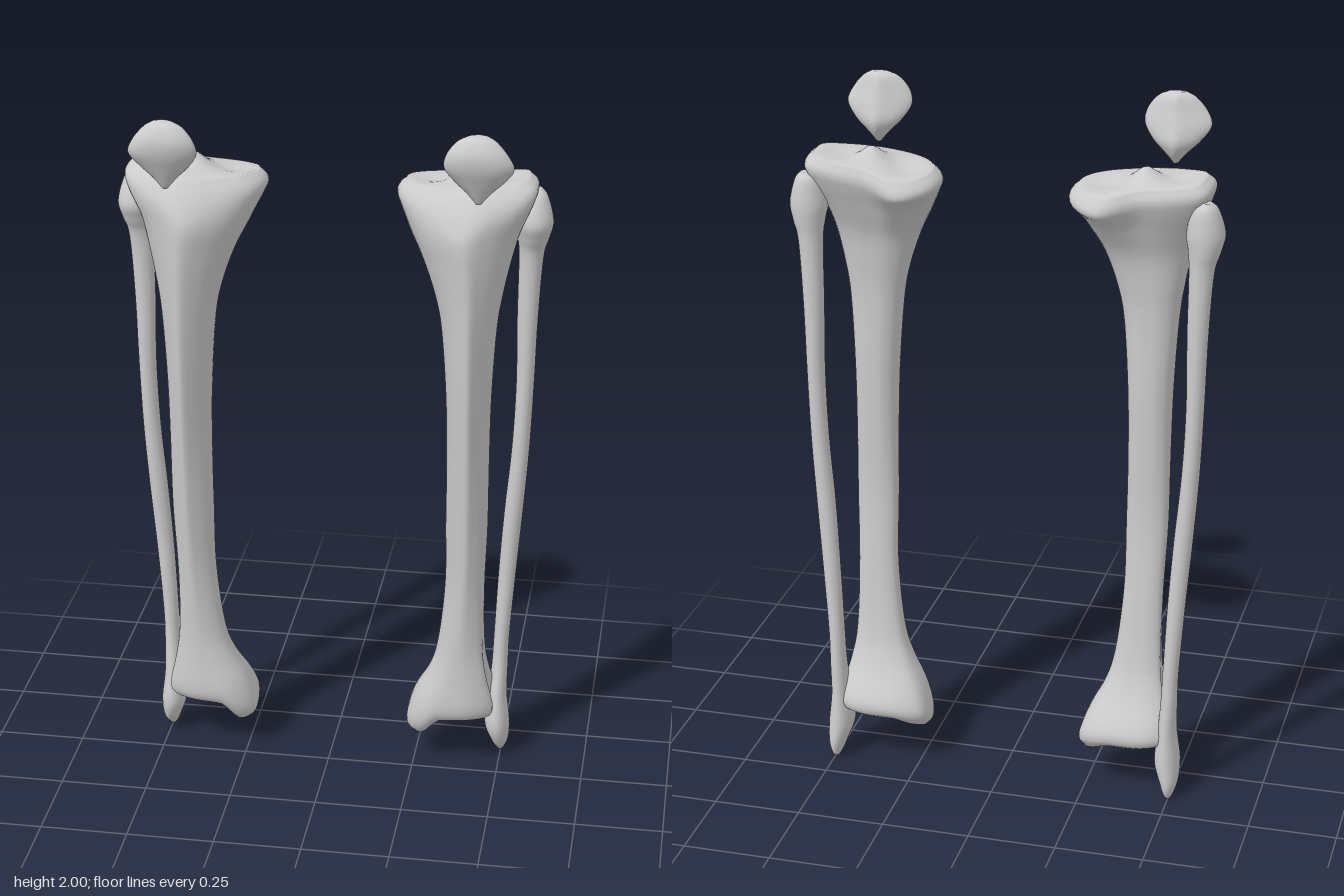
import * as THREE from 'three';

const SEG = 48, STEP = 5, CAP = 8;
const smooth = (a, b, v) => THREE.MathUtils.smoothstep(v, a, b);
const bump = (x, z, cx, cz, r) => Math.exp(-((x - cx) ** 2 + (z - cz) ** 2) / (r * r));

// Closed cross-section outline in a -1..1 box: 12 points, from +x round through +z
function outline(points) {
  const curve = new THREE.CatmullRomCurve3(points.map(([u, v]) => new THREE.Vector3(u, 0, v)), true, 'centripetal');
  return Array.from({ length: SEG }, (_, i) => curve.getPoint(i / SEG));
}

const SHAFT = outline([[1, -0.2], [0.75, 0.35], [0.42, 0.75], [0.1, 1], [-0.35, 0.75], [-0.75, 0.35],
  [-1, -0.2], [-0.85, -0.7], [-0.45, -0.95], [0, -1], [0.45, -0.95], [0.85, -0.7]]);
const PLATEAU = outline([[1, 0], [0.93, 0.5], [0.5, 0.85], [0.1, 1], [-0.4, 0.8], [-0.82, 0.42],
  [-1, -0.1], [-0.9, -0.65], [-0.5, -1], [0, -0.72], [0.45, -0.66], [0.9, -0.5]]);
const ANKLE = outline([[0.86, -0.1], [0.95, 0.5], [0.5, 0.9], [0, 1], [-0.5, 0.95], [-0.92, 0.55],
  [-1, 0], [-0.9, -0.6], [-0.5, -0.9], [0, -1], [0.6, -0.95], [1, -0.6]]);
const ROUND = outline([[1, 0], [0.85, 0.52], [0.48, 0.88], [0, 1], [-0.52, 0.84], [-0.88, 0.48],
  [-1, 0], [-0.86, -0.5], [-0.5, -0.86], [0, -1], [0.5, -0.86], [0.86, -0.5]]);
const KNEECAP = outline([[1, 0.1], [0.88, 0.5], [0.5, 0.88], [0, 1], [-0.5, 0.88], [-0.88, 0.5],
  [-1, 0.1], [-0.8, -0.3], [-0.42, -0.7], [0, -1], [0.42, -0.7], [0.8, -0.3]]);

// Rows run top to bottom: [y, xMin, xMax, zBack, zFront, blend]
// blend > 0 moves towards the upper outline, < 0 towards the lower one
function loft(name, side, rows, mid, upper = mid, lower = mid, warp = () => 0) {
  const spline = new THREE.CubicInterpolant(rows.map((_, i) => i), rows.flat(), 6, new Float32Array(6));
  const rings = [];
  const last = rows.length - 1;
  for (let k = 0; k < CAP; k++) rings.push([rows[0], k / CAP]);
  for (let k = 0; k <= last * STEP; k++) rings.push([Array.from(spline.evaluate(k / STEP)), 1]);
  for (let k = CAP - 1; k >= 0; k--) rings.push([rows[last], k / CAP]);

  const pos = [], index = [];
  rings.forEach(([[y, x0, x1, z0, z1, m], s], i) => {
    const end = m > 0 ? upper : lower;
    for (let j = 0; j < SEG; j++) {
      const p = mid[j].clone().lerp(end[j], Math.min(1, Math.abs(m)));
      const x = (x0 + x1) / 2 + p.x * s * (x1 - x0) / 2;
      const z = (z0 + z1) / 2 + p.z * s * (z1 - z0) / 2;
      pos.push(side * x, y + warp(x, y, z), z);
      if (i === rings.length - 1) continue;
      const a = i * SEG + j, b = i * SEG + (j + 1) % SEG, c = a + SEG, d = b + SEG;
      if (side > 0) index.push(a, b, c, b, d, c);
      else index.push(a, c, b, b, c, d);
    }
  });
  const geo = new THREE.BufferGeometry();
  geo.setAttribute('position', new THREE.Float32BufferAttribute(pos, 3));
  geo.setIndex(index);
  geo.computeVertexNormals();
  const mesh = new THREE.Mesh(geo, new THREE.MeshStandardMaterial({ color: 0xcccccc, roughness: 0.8 }));
  mesh.name = name;
  return mesh;
}

const TIBIA = [
  [1.822, 0.205, 0.54, -0.18, 0.06, 1],
  [1.79, 0.18, 0.565, -0.2, 0.095, 1],
  [1.75, 0.19, 0.555, -0.185, 0.117, 0.85],
  [1.68, 0.22, 0.522, -0.135, 0.132, 0.4],
  [1.6, 0.26, 0.5, -0.09, 0.13, 0.1],
  [1.5, 0.295, 0.48, -0.072, 0.125, 0],
  [1.4, 0.315, 0.467, -0.065, 0.12, 0],
  [1.2, 0.33, 0.457, -0.065, 0.105, 0],
  [1.0, 0.335, 0.455, -0.06, 0.08, 0],
  [0.8, 0.335, 0.455, -0.058, 0.055, 0],
  [0.6, 0.335, 0.45, -0.073, 0.03, -0.2],
  [0.4, 0.315, 0.453, -0.095, 0.015, -0.6],
  [0.3, 0.285, 0.465, -0.125, 0.015, -0.9],
  [0.21, 0.235, 0.485, -0.177, 0.02, -1],
  [0.17, 0.225, 0.482, -0.182, 0.01, -1],
  [0.147, 0.245, 0.455, -0.16, -0.015, -1],
];

// Sloped knee surface with two shallow dishes and a central peak; inner ankle knob
function tibiaWarp(x, y, z) {
  const knee = smooth(1.68, 1.79, y) * (0.08 * (x - 0.37) - 1.2 * (z + 0.04) ** 2);
  const top = smooth(1.8, 1.82, y) * (0.03 * bump(x, z, 0.38, -0.06, 0.035)
    - 0.018 * bump(x, z, 0.28, -0.08, 0.06) - 0.014 * bump(x, z, 0.47, -0.05, 0.06));
  const ankle = (1 - smooth(0.145, 0.26, y)) * (
    0.012 * bump(x, z, 0.38, -0.07, 0.06)
    - 0.055 * (1 - smooth(0.265, 0.33, x)) * bump(0, z, 0, -0.05, 0.09));
  return knee + top + ankle;
}

const FIBULA = [
  [1.778, 0.54, 0.57, -0.125, -0.09, 0],
  [1.755, 0.515, 0.588, -0.143, -0.06, 0],
  [1.69, 0.5, 0.605, -0.152, -0.035, 0],
  [1.64, 0.507, 0.595, -0.15, -0.052, 0],
  [1.58, 0.512, 0.58, -0.145, -0.073, 0],
  [1.4, 0.512, 0.57, -0.145, -0.08, 0],
  [1.2, 0.515, 0.565, -0.145, -0.082, 0],
  [1.0, 0.508, 0.558, -0.146, -0.086, 0],
  [0.8, 0.492, 0.545, -0.15, -0.09, 0],
  [0.6, 0.48, 0.53, -0.155, -0.1, 0],
  [0.4, 0.472, 0.517, -0.16, -0.1, 0],
  [0.3, 0.468, 0.515, -0.165, -0.095, 0],
  [0.2, 0.46, 0.515, -0.17, -0.075, 0],
  [0.11, 0.452, 0.525, -0.178, -0.06, 0],
  [0.05, 0.47, 0.523, -0.181, -0.08, 0],
  [0.015, 0.483, 0.513, -0.172, -0.115, 0],
  [0, 0.492, 0.505, -0.158, -0.135, 0],
];

const PATELLA = [
  [2.0, 0.395, 0.445, 0.143, 0.166, 0],
  [1.985, 0.365, 0.47, 0.128, 0.184, 0],
  [1.95, 0.337, 0.5, 0.117, 0.198, 0],
  [1.91, 0.33, 0.515, 0.104, 0.193, 0],
  [1.87, 0.355, 0.488, 0.092, 0.175, 0],
  [1.84, 0.385, 0.457, 0.1, 0.16, 0],
  [1.815, 0.407, 0.435, 0.12, 0.147, 0],
  [1.806, 0.414, 0.428, 0.127, 0.141, 0],
];

export function createModel() {
  const model = new THREE.Group();
  model.name = 'lowerLegBones';
  for (const [label, side] of [['left', 1], ['right', -1]]) {
    const leg = new THREE.Group();
    leg.name = label + 'Leg';
    leg.add(
      loft(label + 'ShinBone', side, TIBIA, SHAFT, PLATEAU, ANKLE, tibiaWarp),
      loft(label + 'CalfBone', side, FIBULA, ROUND),
      loft(label + 'Kneecap', side, PATELLA, KNEECAP),
    );
    model.add(leg);
  }
  return model;
}
